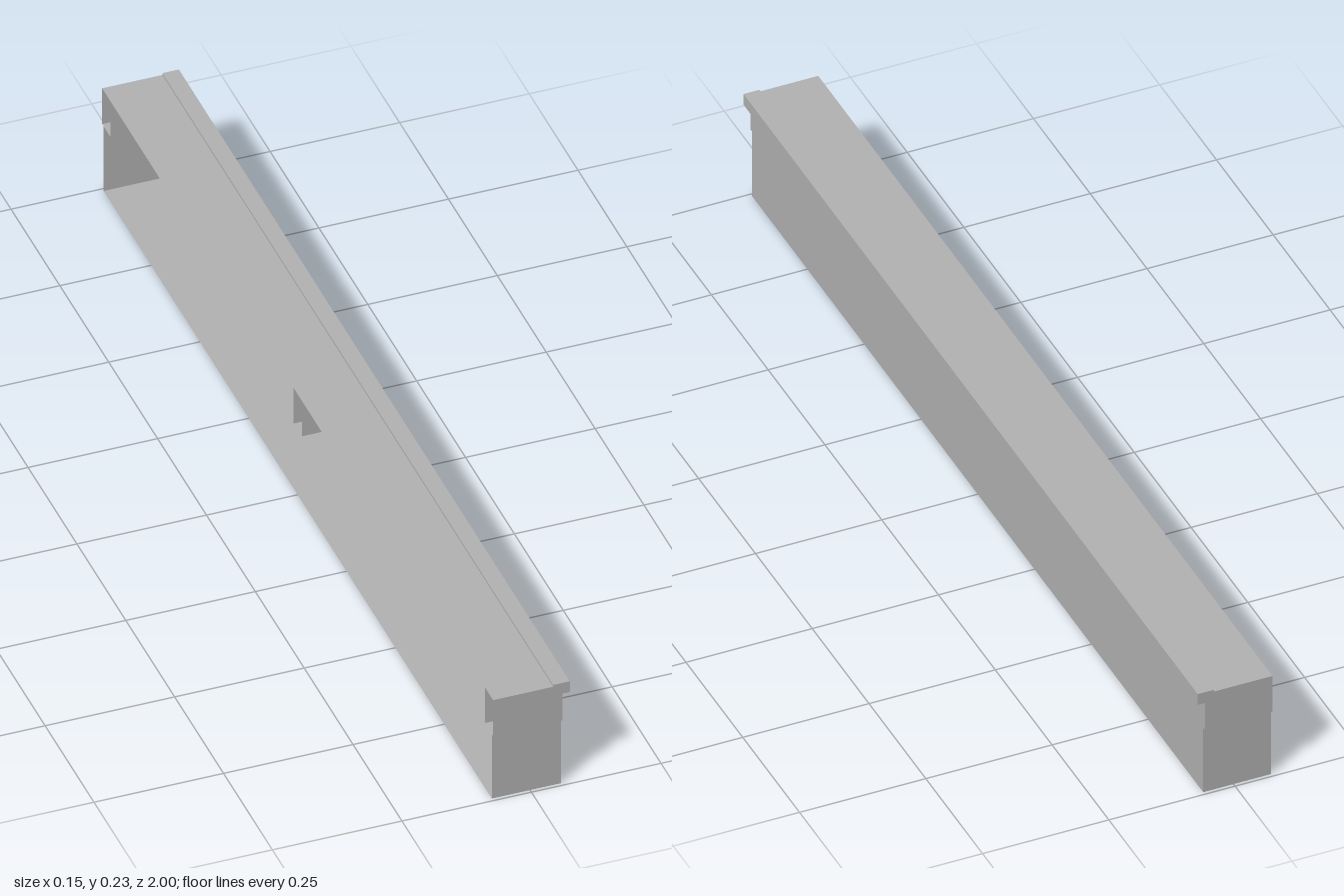
import * as THREE from 'three';

const X0 = -0.074, X1 = 0.06;          // open side and closed side
const TOP = 0.225, STEP = 0.145;       // top sheet and underside of the brackets
const END = 0.993, CH = 0.042;         // half length of the tray, channel width

export function createModel() {
  const group = new THREE.Group();
  const grey = new THREE.MeshStandardMaterial({ color: 0xb2b2b2, side: THREE.DoubleSide });
  grey.name = 'grey sheet metal';

  const add = (name, geometry, parent = group) => {
    const mesh = new THREE.Mesh(geometry, grey);
    mesh.name = name;
    parent.add(mesh);
    return mesh;
  };
  // Sheet lying flat at height y, from z0 to z1
  const flat = (name, y, z0, z1, parent) => add(name, new THREE.PlaneGeometry(X1 - X0, z1 - z0)
    .rotateX(-Math.PI / 2).translate((X0 + X1) / 2, y, (z0 + z1) / 2), parent);
  // Sheet standing across the length at z
  const across = (name, z, y0, y1, parent) => add(name, new THREE.PlaneGeometry(X1 - X0, y1 - y0)
    .translate((X0 + X1) / 2, (y0 + y1) / 2, z), parent);

  // Tray: bottom, top and end walls
  flat('bottomPanel', 0, -END, END);
  flat('topPanel', TOP, -1, 1);
  for (const s of [-1, 1]) across('endWall', s * END, 0, STEP);

  // Long closed side, stepped out at both ends above the brackets' underside
  const side = new THREE.Shape([
    [-END, 0], [END, 0], [END, STEP], [1, STEP], [1, TOP], [-1, TOP], [-1, STEP], [-END, STEP],
  ].map(([z, y]) => new THREE.Vector2(-z, y)));
  add('sideWall', new THREE.ShapeGeometry(side).rotateY(Math.PI / 2).translate(X1, 0, 0));

  // Channel brackets under the top, open towards the open side
  for (const z of [-1 + CH / 2, 0, 1 - CH / 2]) {
    const bracket = new THREE.Group();
    bracket.name = 'bracket';
    across('bracketPlate', z - CH / 2, STEP, TOP, bracket);
    across('bracketPlate', z + CH / 2, STEP, TOP, bracket);
    flat('bracketBase', STEP, z - CH / 2, z + CH / 2, bracket);
    group.add(bracket);
  }

  // Overhanging lip along the top edge
  const lip = new THREE.Shape([
    [0.042, TOP], [X1, TOP], [X1, 0.205], [0.074, 0.205], [0.074, 0.229], [0.042, 0.229],
  ].map(([x, y]) => new THREE.Vector2(x, y)));
  add('lip', new THREE.ExtrudeGeometry(lip, { depth: 2, bevelEnabled: false }).translate(0, 0, -1));

  return group;
}
